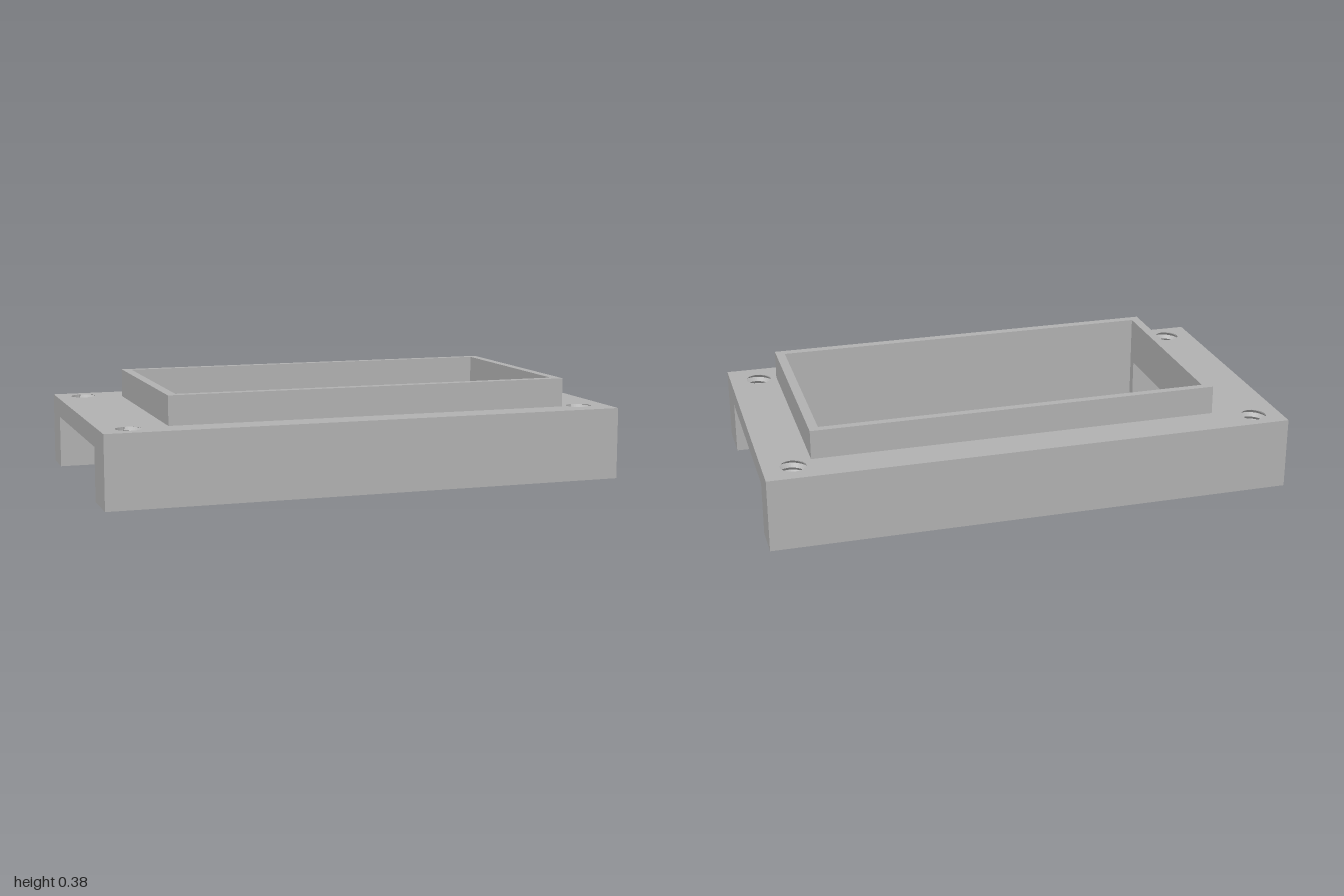
import * as THREE from 'three';
import { mergeGeometries } from 'three/addons/utils/BufferGeometryUtils.js';

// Overall levels: channel ceiling, deck top, rim top
const CEIL = 0.202, DECK = 0.275, TOP = 0.385;
// Depth limits: body, channel, opening, rim
const BODY = 0.545, CH_B = -0.4, CH_F = 0.365;
const OPEN = { l: -0.71, r: 0.78, b: -0.37, f: 0.4 };
const RIM = { l: -0.745, r: 0.815, b: -0.4, f: 0.435 };
// Threaded holes
const MINOR = 0.048, MAJOR = 0.061, PITCH = 0.0275;
const HOLES = [[-0.893, -0.458], [0.887, -0.441], [-0.893, 0.452], [0.887, 0.433]];
const [BX, BZ] = HOLES[1]; // this hole breaks into the channel

const poly = (pts) => new THREE.Shape(pts.map(([u, v]) => new THREE.Vector2(u, v)));
const rect = (u0, v0, u1, v1) => poly([[u0, v0], [u1, v0], [u1, v1], [u0, v1]]);
const round = ([x, z]) => new THREE.Path().absarc(x, z, MINOR, 0, Math.PI * 2, true);

function cut(shape, ...holes) {
  shape.holes.push(...holes);
  return shape;
}

// Flat face on a plane: y takes (x, z), z takes (x, y), x takes (z, y)
function sheet(shape, axis, at, sign) {
  const g = new THREE.ShapeGeometry(shape, 12);
  const p = g.attributes.position;
  for (let i = 0; i < p.count; i++) {
    const u = p.getX(i), v = p.getY(i);
    if (axis === 'y') p.setXYZ(i, u, at, v);
    else if (axis === 'z') p.setXYZ(i, u, v, at);
    else p.setXYZ(i, at, v, u);
  }
  if (sign !== (axis === 'z' ? 1 : -1)) g.index.array.reverse();
  g.computeVertexNormals();
  return g;
}

// Arc of the broken hole between two angles measured from +z
function arc(from, to) {
  const pts = [];
  for (let i = 0; i <= 24; i++) {
    const t = from + ((to - from) * i) / 24;
    pts.push([BX + MINOR * Math.sin(t), BZ + MINOR * Math.cos(t)]);
  }
  return pts;
}

// Toothed edge where the thread breaks through the channel wall
function toothedEdge(side) {
  const d = CH_B - BZ, pts = [];
  const half = (r) => Math.sqrt(r * r - d * d);
  pts.push([BX + side * half(MINOR), 0]);
  for (let k = -2; k < 20; k++) {
    const r = k % 2 ? MAJOR : MINOR;
    const t = (side * Math.acos(d / r) + Math.PI * 2) % (Math.PI * 2);
    const y = (k / 2 + t / (Math.PI * 2)) * PITCH;
    if (y > 0.001 && y < CEIL - 0.001) pts.push([BX + side * half(r), y]);
  }
  pts.push([BX + side * half(MINOR), CEIL]);
  return pts;
}

// Helical V thread, facing the hole axis
function threadGeometry([cx, cz], broken) {
  const SEG = 40, rows = Math.ceil((2 * DECK) / PITCH) + 1, out = [];
  const at = (i, k) => {
    const t = (i / SEG) * Math.PI * 2;
    const raw = (k / 2 + i / SEG) * PITCH;
    const y = Math.min(DECK, Math.max(0, raw));
    const r = k % 2 && raw === y ? MAJOR : MINOR;
    let z = cz + r * Math.cos(t);
    if (broken && y < CEIL) z = Math.min(z, CH_B);
    return [cx + r * Math.sin(t), y, z];
  };
  const tri = (...p) => {
    const flatY = p.every((q) => q[1] === p[0][1]);
    const open = broken && p.every((q) => q[1] < CEIL && q[2] >= CH_B - 1e-6);
    if (!flatY && !open) out.push(...p.flat());
  };
  for (let k = -2; k < rows; k++) {
    for (let i = 0; i < SEG; i++) {
      const a = at(i, k), b = at(i + 1, k), c = at(i + 1, k + 1), d = at(i, k + 1);
      tri(a, d, b);
      tri(b, d, c);
    }
  }
  const g = new THREE.BufferGeometry();
  g.setAttribute('position', new THREE.Float32BufferAttribute(out, 3));
  g.computeVertexNormals();
  return g;
}

export function createModel() {
  const group = new THREE.Group();
  group.name = 'bezelFrame';
  const grey = new THREE.MeshStandardMaterial({ color: 0xb0b0b0 });
  grey.name = 'plain grey';
  const add = (name, geometry) => {
    const mesh = new THREE.Mesh(geometry, grey);
    mesh.name = name;
    group.add(mesh);
  };

  const a = Math.acos((CH_B - BZ) / MINOR);
  const rimRect = () => rect(RIM.l, RIM.b, RIM.r, RIM.f);
  const endProfile = () => poly([
    [-BODY, 0], [CH_B, 0], [CH_B, CEIL], [CH_F, CEIL],
    [CH_F, 0], [BODY, 0], [BODY, DECK], [-BODY, DECK],
  ]);

  // Deck and outer walls
  add('deck', sheet(cut(rect(-1, -BODY, 1, BODY), rimRect(), ...HOLES.map(round)), 'y', DECK, 1));
  add('outerWalls', mergeGeometries([
    sheet(rect(-1, 0, 1, DECK), 'z', BODY, 1),
    sheet(rect(-1, 0, 1, DECK), 'z', -BODY, -1),
    sheet(endProfile(), 'x', 1, 1),
    sheet(endProfile(), 'x', -1, -1),
  ]));

  // Channel ceiling, open in the middle
  add('channelCeiling', sheet(poly([
    [-1, CH_B], ...arc(-a, a), [1, CH_B], [1, CH_F], [OPEN.r, CH_F],
    [OPEN.r, OPEN.b], [OPEN.l, OPEN.b], [OPEN.l, CH_F], [-1, CH_F],
  ]), 'y', CEIL, -1));

  // Back leg
  add('backLeg', mergeGeometries([
    sheet(cut(poly([
      [-1, -BODY], [1, -BODY], [1, CH_B], ...arc(a, Math.PI * 2 - a), [-1, CH_B],
    ]), round(HOLES[0])), 'y', 0, -1),
    sheet(poly([[-1, CEIL], [-1, 0], ...toothedEdge(-1)]), 'z', CH_B, 1),
    sheet(poly([[1, CEIL], [1, 0], ...toothedEdge(1)]), 'z', CH_B, 1),
  ]));

  // Front leg, notched by the opening
  add('frontLeg', mergeGeometries([
    sheet(cut(poly([
      [-1, BODY], [-1, CH_F], [OPEN.l, CH_F], [OPEN.l, OPEN.f],
      [OPEN.r, OPEN.f], [OPEN.r, CH_F], [1, CH_F], [1, BODY],
    ]), round(HOLES[2]), round(HOLES[3])), 'y', 0, -1),
    sheet(rect(-1, 0, OPEN.l, CEIL), 'z', CH_F, -1),
    sheet(rect(OPEN.r, 0, 1, CEIL), 'z', CH_F, -1),
  ]));

  // Walls of the rectangular opening
  const side = () => poly([
    [OPEN.b, CEIL], [CH_F, CEIL], [CH_F, 0], [OPEN.f, 0], [OPEN.f, TOP], [OPEN.b, TOP],
  ]);
  add('openingWalls', mergeGeometries([
    sheet(side(), 'x', OPEN.l, 1),
    sheet(side(), 'x', OPEN.r, -1),
    sheet(rect(OPEN.l, 0, OPEN.r, TOP), 'z', OPEN.f, -1),
    sheet(rect(OPEN.l, CEIL, OPEN.r, TOP), 'z', OPEN.b, 1),
  ]));

  // Raised rim
  add('raisedRim', mergeGeometries([
    sheet(cut(rimRect(), rect(OPEN.l, OPEN.b, OPEN.r, OPEN.f)), 'y', TOP, 1),
    sheet(rect(RIM.l, DECK, RIM.r, TOP), 'z', RIM.f, 1),
    sheet(rect(RIM.l, DECK, RIM.r, TOP), 'z', RIM.b, -1),
    sheet(rect(RIM.b, DECK, RIM.f, TOP), 'x', RIM.r, 1),
    sheet(rect(RIM.b, DECK, RIM.f, TOP), 'x', RIM.l, -1),
  ]));

  // Screw holes
  HOLES.forEach((h, i) => add('threadedHole' + (i + 1), threadGeometry(h, i === 1)));

  return group;
}
